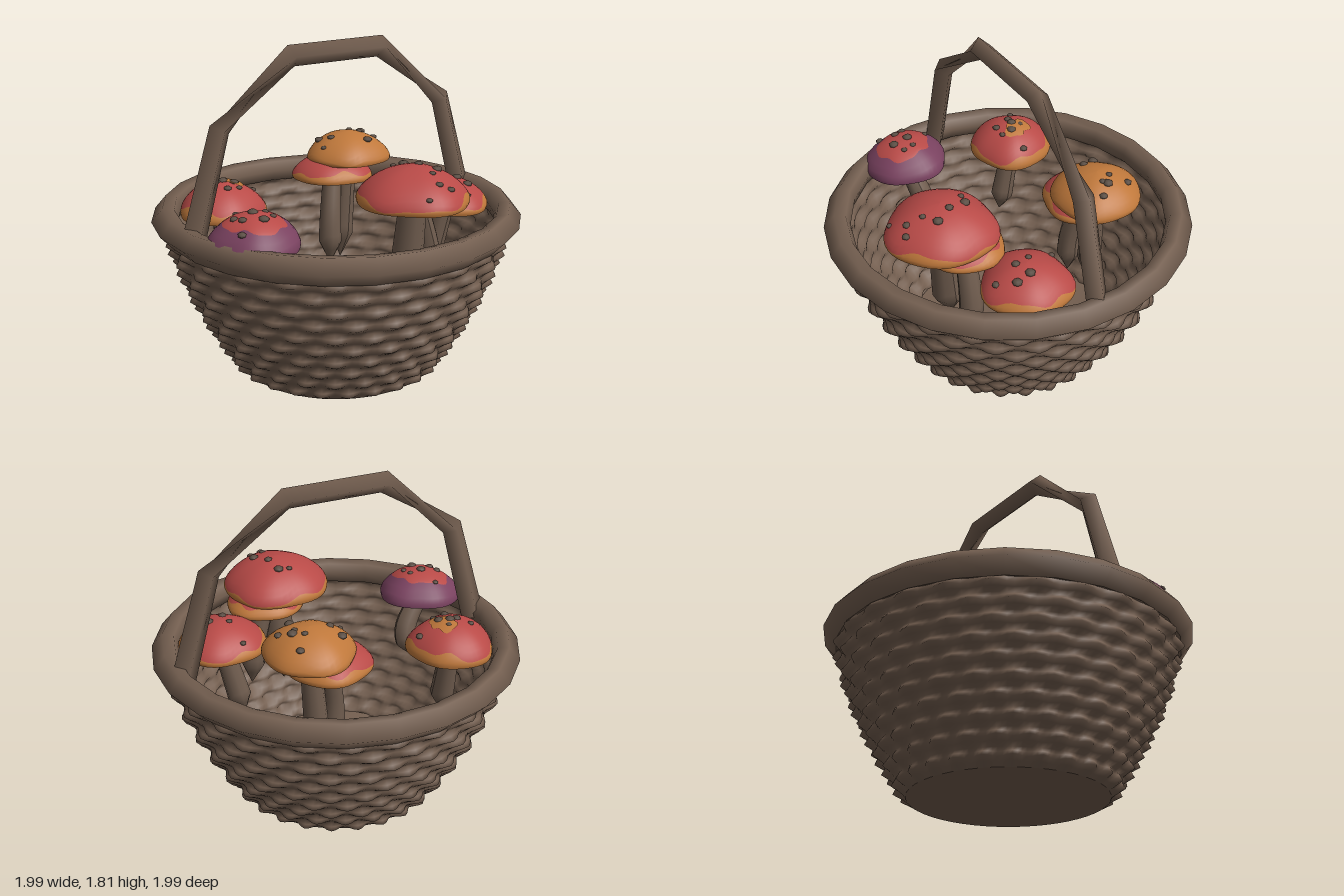
import * as THREE from 'three';

const mat = (name, color) => Object.assign(new THREE.MeshStandardMaterial({ color }), { name });

// Closed ring grid: at(angle, row) gives [radius, y]; rows run bottom to top for outward faces.
function ringGrid(rows, cols, at, groups) {
  const pos = [], idx = [];
  for (let j = 0; j <= rows; j++) {
    for (let i = 0; i < cols; i++) {
      const a = (i / cols) * Math.PI * 2;
      const [r, y] = at(a, j);
      pos.push(r * Math.sin(a), y, r * Math.cos(a));
    }
  }
  for (let j = 0; j < rows; j++) {
    for (let i = 0; i < cols; i++) {
      const n = (i + 1) % cols;
      const p = j * cols + i, q = j * cols + n;
      idx.push(p, q, q + cols, p, q + cols, p + cols);
    }
  }
  const g = new THREE.BufferGeometry();
  g.setAttribute('position', new THREE.Float32BufferAttribute(pos, 3));
  g.setIndex(idx);
  g.computeVertexNormals();
  if (groups) groups.forEach(([from, to, m]) => g.addGroup(from * cols * 6, (to - from) * cols * 6, m));
  return g;
}

// Bent stem with a pointed foot: a tube whose rings are scaled about its path
function stemGeometry(from, to, bend, radius) {
  const a = new THREE.Vector3(...from), b = new THREE.Vector3(...to);
  const mid = a.clone().lerp(b, 0.5).add(new THREE.Vector3(...bend));
  const path = new THREE.CatmullRomCurve3([a, mid, b]);
  const segs = 12, sides = 10;
  const g = new THREE.TubeGeometry(path, segs, radius, sides);
  const pos = g.attributes.position, v = new THREE.Vector3();
  for (let j = 0; j <= segs; j++) {
    const t = j / segs, c = path.getPointAt(t);
    const s = t < 0.25 ? 0.05 + 4.4 * t : 1.22 - 0.3 * t;
    for (let i = 0; i <= sides; i++) {
      const k = j * (sides + 1) + i;
      v.fromBufferAttribute(pos, k).sub(c).multiplyScalar(s).add(c);
      pos.setXYZ(k, v.x, v.y, v.z);
    }
  }
  g.computeVertexNormals();
  return g;
}

export function createModel() {
  const model = new THREE.Group();
  const wicker = mat('wicker brown', 0x745f50);
  const stemBrown = mat('stem brown', 0x6f5c4e);
  const red = mat('cap red', 0xb84a47);
  const orange = mat('cap orange', 0xbf783b);
  const purple = mat('cap purple', 0x7a4260);
  const wartGrey = mat('wart grey', 0x5a4d43);

  const add = (parent, name, geometry, material) => {
    const m = new THREE.Mesh(geometry, material);
    m.name = name;
    parent.add(m);
    return m;
  };

  // Thin woven wall: rows of staggered bumps on a bowl profile, outside and inside
  const rows = 10, perRow = 4, top = 0.82, strands = 26, wallRows = rows * perRow;
  const wallRadius = (a, y) => {
    const t = (y / top) * rows, row = Math.min(rows - 1, Math.floor(t));
    const ridge = 1 - Math.abs(2 * (t - row) - 1);
    const bump = ridge * (0.58 + 0.42 * Math.cos(a * strands + row * Math.PI));
    return 0.525 + 0.7 * y - 0.28 * y * y + 0.05 * bump;
  };
  add(model, 'basketWall', ringGrid(wallRows, strands * 6, (a, j) => {
    const y = (j / wallRows) * top;
    return [wallRadius(a, y), y];
  }), wicker);
  add(model, 'basketInside', ringGrid(wallRows, strands * 6, (a, j) => {
    const y = (1 - j / wallRows) * top;
    return [wallRadius(a, y) - 0.02, y];
  }), wicker);
  add(model, 'basketBottom', ringGrid(1, 48, (a, j) => [j * 0.527, 0]), wicker);

  // Slightly lumpy floor
  add(model, 'basketFloor', ringGrid(12, 48, (a, j) => {
    const r = 0.56 * (1 - j / 12);
    const lump = 0.012 * Math.sin(9 * r * Math.sin(a) + 1) * Math.cos(8 * r * Math.cos(a));
    return [r, 0.03 + 0.03 * (r / 0.56) ** 3 + lump];
  }), wicker);

  // Thick rim
  const rimProfile = [[0.935, 0.8], [1.003, 0.873], [0.942, 0.945], [0.88, 0.935], [0.858, 0.88],
    [0.875, 0.82], [0.935, 0.8]].map(p => new THREE.Vector2(...p));
  add(model, 'rim', new THREE.LatheGeometry(rimProfile, 24), wicker).rotation.y = Math.PI / 24;

  // Handle: diamond bar, a quarter twist in each sloping length
  const arch = [[-0.875, 0.85], [-0.705, 1.425], [-0.28, 1.755], [0.28, 1.755], [0.705, 1.425], [0.875, 0.85]];
  const tilt = [2.87, 2.68, 1.9, 1.24, 0.46, 0.27];
  const turn = [0, 0, 1, 1, 2, 2];
  const pts = [], faces = [];
  arch.forEach(([x, y], j) => {
    for (let i = 0; i < 4; i++) {
      const a = ((i + turn[j]) * Math.PI) / 2, w = j % 5 ? 0.06 : 0.07;
      pts.push(x + Math.cos(a) * w * Math.cos(tilt[j]), y + Math.cos(a) * w * Math.sin(tilt[j]), Math.sin(a) * 0.06);
      if (j < 5) {
        const p = j * 4 + i, q = j * 4 + ((i + 1) % 4);
        faces.push(p, p + 4, q + 4, p, q + 4, q);
      }
    }
  });
  const bar = new THREE.BufferGeometry();
  bar.setAttribute('position', new THREE.Float32BufferAttribute(pts, 3));
  bar.setIndex(faces);
  bar.computeVertexNormals();
  // Normals must point away from the bar's middle line
  const n = bar.attributes.normal;
  const flip = arch.reduce((s, [x, y], j) => s + n.getX(j * 4) * (pts[j * 12] - x) + n.getY(j * 4) * (pts[j * 12 + 1] - y), 0) < 0;
  if (flip) {
    bar.setIndex(faces.slice().reverse());
    bar.computeVertexNormals();
  }
  add(model, 'handle', bar, wicker);

  // Mushroom: cap with an uneven painted edge, warts, bent stem
  const wartGeo = new THREE.SphereGeometry(0.025, 7, 5);
  const dome = c => c * (0.55 + 0.45 * Math.abs(c));
  function mushroom(o) {
    const g = new THREE.Group();
    g.name = o.name;
    const R = o.r, end = 1.75, drop = -dome(Math.cos(end));
    const H = (o.top - o.bottom) / (1 + drop);
    const baseY = o.bottom + drop * H;
    const wobble = a => 1 + 0.025 * Math.sin(3 * a + o.seed) + 0.02 * Math.sin(5 * a + 2 * o.seed);
    const edge = a => Math.min(end - 0.02, o.edge + (o.wave ?? 1) * (0.14 * Math.sin(2 * a + o.seed * 3)
      + 0.1 * Math.sin(5 * a + o.seed) + 0.05 * Math.sin(9 * a)));
    const height = (x, z) => H * dome(Math.sqrt(Math.max(0.03, 1 - (x * x + z * z) / (R * R))));
    const cap = new THREE.Group();
    cap.name = 'cap';
    cap.position.set(o.x, baseY, o.z);
    cap.rotation.set(o.lean?.[0] ?? 0, 0, o.lean?.[1] ?? 0);
    g.add(cap);
    const geo = ringGrid(14, 48, (a, j) => {
      if (j === 0) return [0, -0.3 * H];
      const e = edge(a);
      const ang = j < 3 ? end : j <= 6 ? end + (e - end) * ((j - 2) / 4) : e * (1 - (j - 6) / 8);
      return [R * Math.sin(ang) * wobble(a), H * dome(Math.cos(ang))];
    }, [[0, 1, 0], [1, 6, 1], [6, 14, 2]]);
    add(cap, 'capSurface', geo, [stemBrown, o.edgeColor, o.color]);
    // Loose paint patch lying on the dome
    if (o.patch) {
      const [px, pz, pr] = o.patch, dx = px - o.x, dz = pz - o.z;
      const patch = ringGrid(4, 24, (a, j) => {
        const r = pr * (1 - j / 4) * (1 + 0.25 * Math.sin(2 * a + 1) + 0.12 * Math.sin(5 * a));
        return [r, height(dx + r * Math.sin(a), dz + r * Math.cos(a)) + 0.006];
      });
      add(cap, 'capPatch', patch, o.edgeColor).position.set(dx, 0, dz);
    }
    (o.warts ?? []).forEach(([x, z], i) => {
      const dx = x - o.x, dz = z - o.z, s = 0.72 + 0.2 * (i % 3);
      const wart = add(cap, 'wart', wartGeo, wartGrey);
      wart.position.set(dx, height(dx, dz), dz);
      wart.scale.set(s, s * 0.6, s);
    });
    add(g, 'stem', stemGeometry(o.foot, [o.x, baseY - 0.02, o.z], o.bend ?? [0, 0, 0], o.stem ?? 0.058), stemBrown);
    model.add(g);
  }

  mushroom({ name: 'bigRedMushroom', x: 0.15, z: 0.485, r: 0.295, bottom: 1.03, top: 1.22, color: red, edgeColor: orange,
    edge: 1.42, seed: 1, foot: [0.13, 0.45, 0.44], stem: 0.078,
    warts: [[0.12, 0.35], [0.2, 0.46], [0.18, 0.36], [0.18, 0.6], [0.16, 0.68], [0.25, 0.55], [0.06, 0.73], [0.21, 0.71]] });
  mushroom({ name: 'lowerFrontMushroom', x: 0.25, z: 0.41, r: 0.215, bottom: 0.97, top: 1.09, color: red, edgeColor: orange,
    edge: 1.1, seed: 2, foot: [0.34, 0.48, 0.42], bend: [0.02, 0, 0] });
  mushroom({ name: 'leftRedMushroom', x: 0.575, z: 0.23, r: 0.24, bottom: 0.87, top: 1.03, color: red, edgeColor: orange,
    edge: 1.26, seed: 0.785, foot: [0.48, 0.45, 0.18],
    warts: [[0.54, 0.2], [0.55, 0.28], [0.64, 0.25], [0.52, 0.05], [0.58, 0.41], [0.65, 0.33]] });
  mushroom({ name: 'rightRedMushroom', x: -0.53, z: -0.33, r: 0.235, bottom: 0.87, top: 1.05, color: red, edgeColor: orange,
    edge: 1.24, seed: 4.4, foot: [-0.53, 0.45, -0.25], patch: [-0.47, -0.34, 0.068],
    warts: [[-0.62, -0.38], [-0.56, -0.33], [-0.52, -0.33], [-0.49, -0.37], [-0.54, -0.24], [-0.47, -0.3], [-0.47, -0.24], [-0.35, -0.31]] });
  mushroom({ name: 'orangeMushroom', x: 0.315, z: -0.355, r: 0.24, bottom: 1.05, top: 1.21, color: orange, edgeColor: orange,
    edge: 1.4, seed: 5, foot: [0.27, 0.45, -0.36],
    warts: [[0.13, -0.32], [0.2, -0.35], [0.17, -0.43], [0.39, -0.34], [0.42, -0.48], [0.41, -0.36], [0.36, -0.4], [0.46, -0.3], [0.37, -0.23]] });
  mushroom({ name: 'lowerBackMushroom', x: 0.21, z: -0.355, r: 0.23, bottom: 0.96, top: 1.1, color: red, edgeColor: orange,
    edge: 1.25, seed: 6, foot: [0.16, 0.45, -0.3], bend: [-0.02, 0, 0.02] });
  mushroom({ name: 'purpleMushroom', x: -0.68, z: 0.285, r: 0.235, bottom: 0.89, top: 1.06, color: red, edgeColor: purple,
    edge: 0.7, wave: 0.5, seed: 2.2, foot: [-0.6, 0.54, 0.2], bend: [0.07, -0.02, 0], lean: [0.06, 0.05],
    warts: [[-0.7, 0.14], [-0.75, 0.3], [-0.67, 0.26], [-0.6, 0.26], [-0.8, 0.38], [-0.66, 0.35], [-0.59, 0.32], [-0.77, 0.25]] });

  return model;
}
